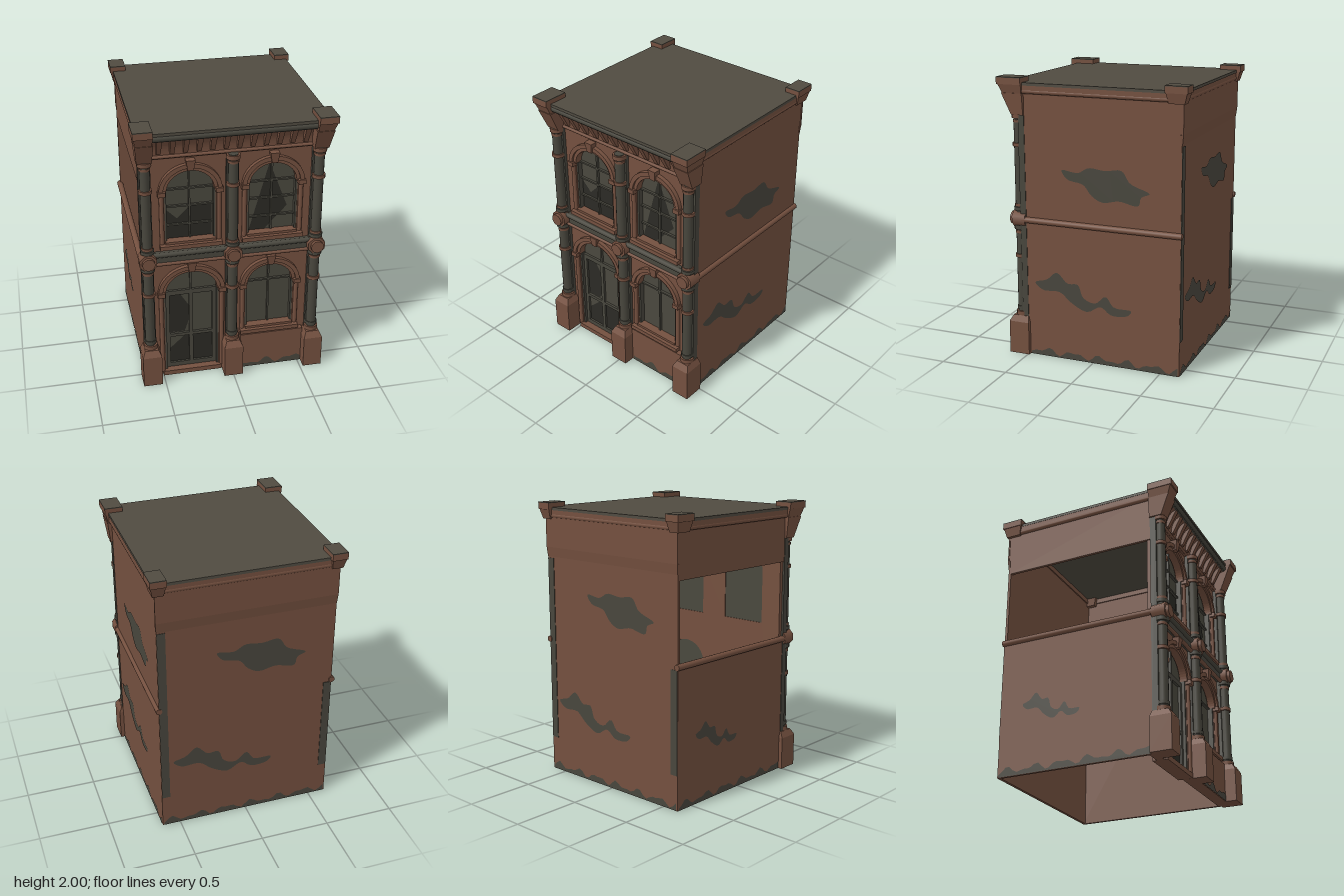
import * as THREE from 'three';

const D = THREE.DoubleSide;
const paint = (name, color, side = THREE.FrontSide) => {
  const m = new THREE.MeshStandardMaterial({ color, side });
  m.name = name;
  return m;
};

export function createModel() {
  const g = new THREE.Group();
  g.name = 'oldCornerBuilding';
  const brick = paint('brownBrick', 0x74503f, D);
  const grime = paint('greyGrime', 0x48463d, D);
  const roofing = paint('roofGrey', 0x504b41);
  const glass = paint('dustyGlass', 0x4a483e, D);
  const dark = paint('darkGlass', 0x2b2a25, D);

  const add = (name, geo, mat, x = 0, y = 0, z = 0) => {
    const m = new THREE.Mesh(geo, mat);
    m.name = name;
    m.position.set(x, y, z);
    g.add(m);
    return m;
  };
  // Block between two heights; lo and hi are [x0, x1, z0, z1] at bottom and top
  const block = (name, mat, y0, y1, lo, hi = lo) => {
    const geo = new THREE.BoxGeometry(1, 1, 1);
    const p = geo.attributes.position;
    for (let i = 0; i < p.count; i++) {
      const top = p.getY(i) > 0, r = top ? hi : lo;
      p.setXYZ(i, p.getX(i) > 0 ? r[1] : r[0], top ? y1 : y0, p.getZ(i) > 0 ? r[3] : r[2]);
    }
    geo.computeVertexNormals();
    return add(name, geo, mat);
  };
  const flip = (s, [a, b, c, d]) => (s > 0 ? [a, b, c, d] : [-b, -a, c, d]);
  const extrude = (shape, depth) =>
    new THREE.ExtrudeGeometry(shape, { depth, bevelEnabled: false, curveSegments: 14 });
  const arch = (Kind, cx, hw, y0, spring, rise) => {
    const s = new Kind();
    s.moveTo(cx - hw, y0);
    s.lineTo(cx + hw, y0);
    s.lineTo(cx + hw, spring);
    s.absellipse(cx, spring, hw, rise, 0, Math.PI, false);
    s.closePath();
    return s;
  };

  // Openings: centre, half width, bottom, spring line, rise
  const openings = {
    door: [-0.285, 0.195, 0.03, 0.7, 0.17],
    shopWindow: [0.28, 0.175, 0.33, 0.7, 0.16],
    upperLeftWindow: [-0.285, 0.175, 1.1, 1.49, 0.16],
    upperRightWindow: [0.285, 0.175, 1.1, 1.49, 0.16],
  };

  // Front wall with arched holes
  const front = new THREE.Shape();
  front.moveTo(-0.62, 0);
  front.lineTo(0.62, 0);
  front.lineTo(0.62, 1.93);
  front.lineTo(-0.62, 1.93);
  front.closePath();
  Object.values(openings).forEach(o => front.holes.push(arch(THREE.Path, ...o)));
  add('frontWall', extrude(front, 0.05), brick, 0, 0, 0.47);

  // Side and back walls; one side wall is missing upstairs
  block('sideWall', brick, 0, 1.93, [0.61, 0.63, -0.635, 0.51]);
  block('brokenSideWallLower', brick, 0, 1, [-0.63, -0.61, -0.635, 0.51]);
  block('brokenSideWallTop', brick, 1.57, 1.93, [-0.63, -0.61, -0.635, 0.51]);
  block('backWall', brick, 0, 1.93, [-0.63, 0.63, -0.64, -0.62]);
  block('backBand', brick, 1.68, 1.92, [-0.635, 0.635, -0.65, -0.64]);
  block('backBandSlope', brick, 1.61, 1.68, [-0.63, 0.63, -0.642, -0.63], [-0.635, 0.635, -0.65, -0.63]);

  // Roof and its rounded edge moulding
  block('roof', roofing, 1.945, 1.965, [-0.65, 0.65, -0.655, 0.64]);
  const rod = (name, mat, r, len, x, y, z, alongX) => {
    const m = add(name, new THREE.CylinderGeometry(r, r, len, 12), mat, x, y, z);
    if (alongX) m.rotation.z = Math.PI / 2;
    else m.rotation.x = Math.PI / 2;
    return m;
  };
  for (const s of [1, -1]) {
    block('sideCornice', brick, 1.905, 1.95, flip(s, [0.6, 0.648, -0.65, 0.52]));
    rod('sideCorniceBead', brick, 0.018, 1.17, s * 0.632, 1.905, -0.065, false);
    rod('sideLedge', brick, 0.022, 1.18, s * 0.63, 1, -0.06, false);
  }
  rod('backCorniceBead', brick, 0.018, 1.26, 0, 1.905, -0.637, true);
  block('backCornice', brick, 1.905, 1.95, [-0.64, 0.64, -0.652, -0.61]);

  // Front cornice: hollow curve with brackets under a dark rail
  const cove = new THREE.Shape();
  cove.moveTo(-0.5, 1.74);
  cove.lineTo(-0.535, 1.74);
  cove.lineTo(-0.535, 1.77);
  cove.quadraticCurveTo(-0.54, 1.88, -0.61, 1.9);
  cove.lineTo(-0.5, 1.9);
  cove.closePath();
  add('frontCove', extrude(cove, 1.1), brick, -0.55).rotation.y = Math.PI / 2;
  block('frontCornice', grime, 1.9, 1.95, [-0.6, 0.6, 0.5, 0.625]);
  rod('frontCorniceRail', grime, 0.024, 1.12, 0, 1.925, 0.617, true);
  rod('frontCorniceBead', brick, 0.012, 1.1, 0, 1.755, 0.535, true);
  for (let i = 0; i < 12; i++) {
    const x = -0.495 + i * 0.09;
    block('bracket', brick, 1.78, 1.9, [x - 0.015, x + 0.015, 0.52, 0.55], [x - 0.019, x + 0.019, 0.52, 0.615]);
  }

  // Corner caps on the roof
  for (const s of [1, -1]) {
    const cap = (name, y0, y1, lo, hi) => block(name, brick, y0, y1, flip(s, lo), flip(s, hi || lo));
    cap('frontCornerBracket', 1.74, 1.89, [0.545, 0.645, 0.5, 0.59], [0.54, 0.66, 0.5, 0.655]);
    cap('frontCornerNeck', 1.89, 1.95, [0.548, 0.655, 0.505, 0.65], [0.545, 0.67, 0.5, 0.675]);
    cap('frontCornerCap', 1.95, 1.994, [0.545, 0.675, 0.5, 0.683]);
    cap('backCornerNeck', 1.88, 1.95, [0.575, 0.65, -0.66, -0.55], [0.565, 0.665, -0.68, -0.535]);
    cap('backCornerCap', 1.95, 1.994, [0.56, 0.67, -0.686, -0.53]);
    block('frontCapTop', roofing, 1.994, 2, flip(s, [0.545, 0.675, 0.5, 0.683]));
    block('backCapTop', roofing, 1.994, 2, flip(s, [0.56, 0.67, -0.686, -0.53]));
  }

  // Two storeys of columns on plinths
  for (const x of [-0.592, 0, 0.592]) {
    block('columnBacking', grime, 0.27, 1.75, [x - 0.042, x + 0.042, 0.5, 0.545]);
    block('plinth', brick, 0, 0.24, [x - 0.068, x + 0.068, 0.49, 0.642]);
    block('plinthTop', brick, 0.24, 0.285, [x - 0.068, x + 0.068, 0.49, 0.642], [x - 0.048, x + 0.048, 0.5, 0.615]);
    add('columnShaft', new THREE.CylinderGeometry(0.034, 0.036, 1.47, 14), grime, x, 1.015, 0.562);
    const ring = (y, h, r, mat = brick) =>
      add('columnRing', new THREE.CylinderGeometry(r, r, h, 14), mat, x, y, 0.56);
    ring(0.3, 0.03, 0.05);
    ring(0.34, 0.025, 0.043, grime);
    ring(0.73, 0.025, 0.046);
    ring(0.905, 0.02, 0.041);
    ring(0.94, 0.03, 0.05, grime);
    ring(1.075, 0.025, 0.048, grime);
    ring(1.1, 0.018, 0.041);
    ring(1.53, 0.025, 0.046);
    ring(1.695, 0.018, 0.04);
    ring(1.73, 0.03, 0.048);
    const boss = add('columnBoss', new THREE.CylinderGeometry(0.064, 0.064, 0.1, 8), brick, x, 1, 0.555);
    boss.geometry.rotateY(Math.PI / 8);
    boss.rotation.x = Math.PI / 2;
    rod('bossFace', brick, 0.045, 0.03, x, 1, 0.612, false);
  }

  // Belt between the storeys
  block('belt', grime, 0.955, 1.04, [-0.58, 0.58, 0.5, 0.555]);
  rod('beltUpperRail', grime, 0.018, 1.16, 0, 1.03, 0.557, true);
  rod('beltLowerRail', brick, 0.014, 1.16, 0, 0.955, 0.552, true);

  // Glazing, arched hoods, jambs, sills and glazing bars
  for (const [name, [cx, hw, y0, spring, rise]] of Object.entries(openings)) {
    const door = name === 'door';
    add(name + 'Glass', new THREE.ShapeGeometry(arch(THREE.Shape, cx, hw, y0, spring, rise), 14), glass, 0, 0, 0.475);
    const band = (label, mat, a, b, z, depth) => {
      const s = new THREE.Shape();
      s.absellipse(cx, spring, hw + b, rise + b, 0, Math.PI, false);
      s.absellipse(cx, spring, hw + a, rise + a, Math.PI, 0, true);
      s.closePath();
      add(name + label, extrude(s, depth), mat, 0, 0, z);
    };
    band('Hood', brick, 0.012, 0.042, 0.515, 0.035);
    band('InnerArch', brick, -0.012, 0.012, 0.48, 0.055);
    block(name + 'Keystone', brick, spring + rise, spring + rise + 0.075,
      [cx - 0.02, cx + 0.02, 0.51, 0.56], [cx - 0.032, cx + 0.032, 0.51, 0.57]);
    for (const s of [1, -1]) {
      const jx = cx + s * (hw + 0.022), ex = cx + s * hw;
      add(name + 'Jamb', new THREE.CylinderGeometry(0.016, 0.016, spring - y0, 10), brick, jx, (spring + y0) / 2, 0.525);
      block(name + 'JambCap', brick, spring - 0.02, spring + 0.012, [jx - 0.026, jx + 0.026, 0.515, 0.56]);
      block(name + 'Frame', grime, y0, spring, [ex - 0.014, ex + 0.014, 0.478, 0.515]);
    }
    if (!door) {
      block(name + 'Sill', brick, y0 - 0.035, y0 - 0.005, [cx - hw - 0.04, cx + hw + 0.04, 0.5, 0.565]);
      block(name + 'SillRail', brick, y0 - 0.005, y0 + 0.012, [cx - hw, cx + hw, 0.48, 0.54]);
    }
    const bar = (y, r = 0.006) => block(name + 'Bar', grime, y - r, y + r, [cx - hw, cx + hw, 0.477, 0.494]);
    const post = (x, a, b, r = 0.006) => block(name + 'Post', grime, a, b, [x - r, x + r, 0.477, 0.494]);
    post(cx, y0, spring + rise);
    if (door) {
      bar(0.67, 0.018);
      bar(0.31, 0.012);
      bar(0.05, 0.02);
      post(cx, 0.03, 0.66, 0.014);
      for (const s of [1, -1]) post(cx + s * 0.17, 0.03, 0.66, 0.016);
    } else {
      bar(spring);
      if (y0 > 1) [0.12, 0.26].forEach(h => bar(y0 + h));
    }
  }
  block('doorStep', brick, 0, 0.035, [-0.5, -0.07, 0.44, 0.545]);

  // Panel under the shop window
  block('shopPanel', brick, 0, 0.285, [0.065, 0.53, 0.5, 0.56]);

  // Broken pane pieces and dark door panes
  const shard = (...pts) =>
    add('brokenPane', new THREE.ShapeGeometry(new THREE.Shape(pts.map(p => new THREE.Vector2(...p)))), dark, 0, 0, 0.479);
  shard([-0.45, 1.11], [-0.13, 1.11], [-0.13, 1.35], [-0.28, 1.35], [-0.37, 1.26], [-0.45, 1.34]);
  shard([0.13, 1.11], [0.24, 1.11], [0.4, 1.28], [0.27, 1.62], [0.21, 1.4]);
  shard([-0.45, 0.06], [-0.12, 0.06], [-0.12, 0.3], [-0.32, 0.3], [-0.45, 0.18]);
  shard([-0.45, 0.33], [-0.33, 0.33], [-0.27, 0.5], [-0.36, 0.65], [-0.45, 0.65]);

  // Grime stains; drawn as seen from outside, u to the viewer's right
  const upperStain = [[-0.22, 1.38], [-0.1, 1.37], [-0.02, 1.41], [0.1, 1.4], [0.22, 1.41], [0.28, 1.33], [0.42, 1.27],
    [0.36, 1.24], [0.34, 1.18], [0.2, 1.2], [0.08, 1.18], [0, 1.22], [-0.06, 1.29], [-0.18, 1.32]];
  const lowerStain = [[-0.44, 0.55], [-0.35, 0.58], [-0.27, 0.64], [-0.19, 0.57], [-0.11, 0.57], [-0.07, 0.48], [0.02, 0.45],
    [0.1, 0.51], [0.16, 0.44], [0.29, 0.43], [0.26, 0.39], [0.14, 0.38], [0.06, 0.43], [-0.04, 0.38], [-0.16, 0.43], [-0.25, 0.5], [-0.38, 0.5]];
  const stain = (pts, angle, x, z) => {
    const curve = new THREE.CatmullRomCurve3(pts.map(p => new THREE.Vector3(p[0], p[1], 0)), true);
    const shape = new THREE.Shape(curve.getPoints(60).map(p => new THREE.Vector2(p.x, p.y)));
    add('grimeStain', new THREE.ShapeGeometry(shape), grime, x, 0, z).rotation.y = angle;
  };
  // Uneven damp line along the foot of a wall
  const damp = (u0, u1, angle, x, z) => {
    const pts = [new THREE.Vector2(u1, 0.002), new THREE.Vector2(u0, 0.002)];
    for (let i = 0; i <= 40; i++) {
      const u = u0 + (u1 - u0) * i / 40;
      pts.push(new THREE.Vector2(u, 0.04 + 0.018 * Math.sin(u * 31) + 0.012 * Math.sin(u * 53)));
    }
    add('dampLine', new THREE.ShapeGeometry(new THREE.Shape(pts)), grime, x, 0, z).rotation.y = angle;
  };
  stain(upperStain, Math.PI / 2, 0.634, 0);
  stain(lowerStain, Math.PI / 2, 0.634, 0);
  damp(-0.48, 0.63, Math.PI / 2, 0.634, 0);
  stain(upperStain, Math.PI, 0, -0.644);
  stain(lowerStain, Math.PI, 0.1, -0.644);
  damp(-0.62, 0.62, Math.PI, 0, -0.644);
  stain(lowerStain.map(([u, v]) => [u * 0.6, v * 0.8 + 0.06]), -Math.PI / 2, -0.634, -0.2);
  damp(-0.63, 0.48, -Math.PI / 2, -0.634, 0);
  damp(0.08, 0.52, 0, 0, 0.564);
  block('cornerStain', grime, 0.25, 1.6, [0.57, 0.628, -0.644, -0.64]);
  block('cornerStain', grime, 0.25, 0.98, [-0.628, -0.57, -0.644, -0.64]);
  return g;
}
